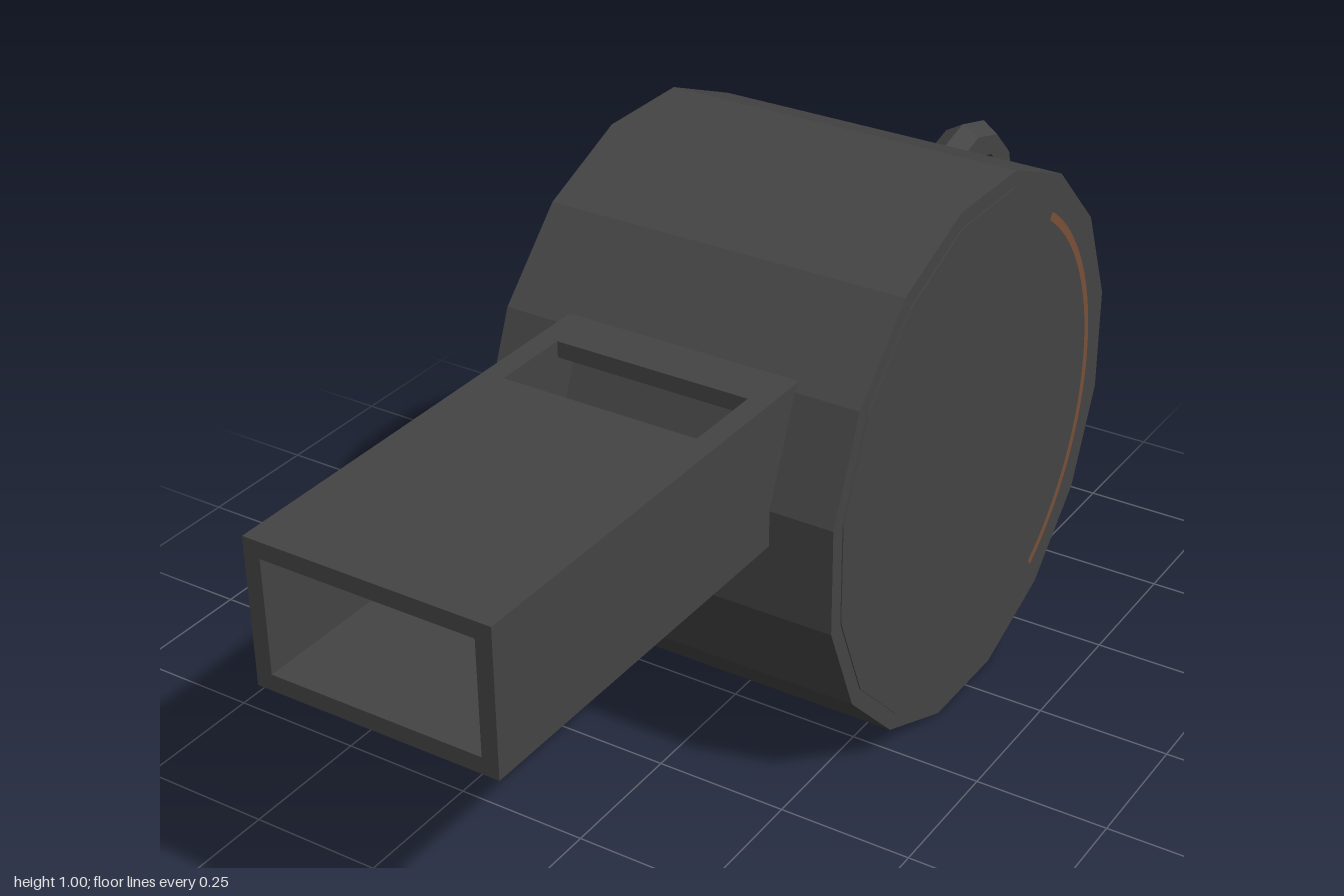
import * as THREE from 'three';

export function createModel() {
  const model = new THREE.Group();
  model.name = 'whistle';
  const charcoal = new THREE.MeshStandardMaterial({ name: 'charcoal', color: 0x444444, flatShading: true });
  const copper = new THREE.MeshStandardMaterial({ name: 'copper', color: 0x7a5038, flatShading: true });

  const add = (name, geometry, material, parent = model) => {
    const mesh = new THREE.Mesh(geometry, material);
    mesh.name = name;
    parent.add(mesh);
    return mesh;
  };

  // Sixteen-sided chamber lying along x, with a flat facet on top
  const centreY = 0.502, centreZ = -0.244, radius = 0.511;
  const drum = (r, width) => new THREE.CylinderGeometry(r, r, width, 16, 1, false, Math.PI / 16)
    .rotateZ(Math.PI / 2);
  add('chamber', drum(radius, 0.69), charcoal).position.set(0, centreY, centreZ);

  // Thin end caps and the curved trim line on each side
  const arc = 0.975;
  for (const side of [1, -1]) {
    const label = side > 0 ? 'left' : 'right';
    add(label + 'Cap', drum(radius - 0.03, 0.004), charcoal)
      .position.set(side * 0.345, centreY, centreZ);
    const start = side > 0 ? -arc : Math.PI - arc;
    const trim = add(label + 'Trim', new THREE.RingGeometry(0.427, 0.443, 28, 1, start, arc * 2), copper);
    trim.rotation.y = side * Math.PI / 2;
    trim.position.set(side * 0.349, centreY, centreZ);
  }

  // Hollow rectangular mouthpiece with an air slot in its roof
  const mouthpiece = new THREE.Group();
  mouthpiece.name = 'mouthpiece';
  model.add(mouthpiece);
  const box = (name, x0, x1, y0, y1, z0, z1) =>
    add(name, new THREE.BoxGeometry(x1 - x0, y1 - y0, z1 - z0), charcoal, mouthpiece)
      .position.set((x0 + x1) / 2, (y0 + y1) / 2, (z0 + z1) / 2);
  box('mouthFloor', -0.225, 0.225, 0.535, 0.565, 0.12, 1);
  box('leftWall', 0.195, 0.225, 0.565, 0.77, 0.1, 1);
  box('rightWall', -0.225, -0.195, 0.565, 0.77, 0.1, 1);
  box('frontRoof', -0.225, 0.225, 0.77, 0.8, 0.41, 1);
  box('rearRoof', -0.225, 0.225, 0.77, 0.8, 0.1, 0.26);
  box('leftSlotRail', 0.185, 0.225, 0.77, 0.8, 0.26, 0.41);
  box('rightSlotRail', -0.225, -0.185, 0.77, 0.8, 0.26, 0.41);

  // Lanyard ring at the back
  const ring = add('lanyardRing', new THREE.TorusGeometry(0.14, 0.04, 6, 12), charcoal);
  ring.rotation.y = Math.PI / 2;
  ring.position.set(0, 0.655, -0.82);

  return model;
}
